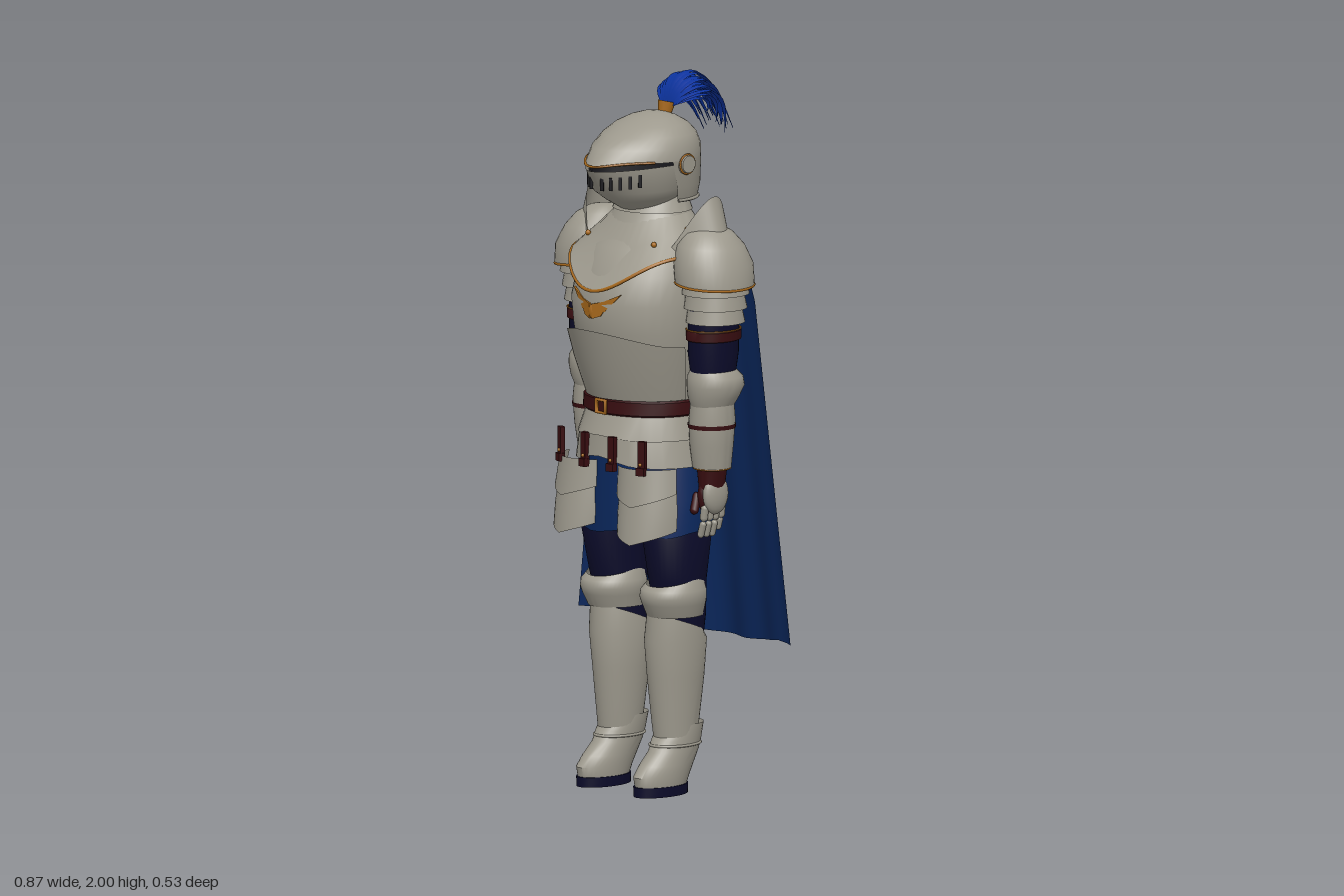
import * as THREE from 'three';
import { toCreasedNormals } from 'three/addons/utils/BufferGeometryUtils.js';

const paint = (name, color) => new THREE.MeshStandardMaterial({ name, color, side: THREE.DoubleSide });

export function createModel() {
  const root = new THREE.Group();
  root.name = 'armouredKnight';
  const steel = paint('steel', 0x9d998d), navy = paint('navyCloth', 0x0b0b2a), capeBlue = paint('capeBlue', 0x0b285e),
    plumeBlue = paint('plumeBlue', 0x0c339e), red = paint('redLeather', 0x380d10), gold = paint('gold', 0xa8691c),
    dark = paint('darkOpening', 0x17171c);

  const add = (name, geo, mat, x = 0, y = 0, z = 0) => {
    const m = new THREE.Mesh(geo, mat);
    m.name = name;
    m.position.set(x, y, z);
    root.add(m);
    return m;
  };
  const box = (name, mat, w, h, d, x, y, z) => add(name, new THREE.BoxGeometry(w, h, d), mat, x, y, z);

  // Surface through fn(u, v), u and v from 0 to 1
  function grid(fn, nu, nv, wrap = false) {
    const pos = [], idx = [], cols = wrap ? nu : nu + 1;
    for (let j = 0; j <= nv; j++) for (let i = 0; i < cols; i++) pos.push(...fn(i / nu, j / nv));
    for (let j = 0; j < nv; j++) for (let i = 0; i < nu; i++) {
      const a = j * cols + i, b = j * cols + (i + 1) % cols;
      idx.push(a, b, b + cols, a, b + cols, a + cols);
    }
    const g = new THREE.BufferGeometry();
    g.setAttribute('position', new THREE.Float32BufferAttribute(pos, 3));
    g.setIndex(idx);
    g.computeVertexNormals();
    return g;
  }

  // Ring: [y, half width, front z, back z, centre x, front keel]; angle 0 faces front
  function ringPoint([y, rx, zf, zb, cx = 0, keel = 0], t, grow = 0) {
    const c = Math.cos(t);
    return [cx + (rx + grow) * Math.sin(t), y,
      (zf + zb) / 2 + ((zf - zb) / 2 + grow) * c + keel * Math.max(0, c) ** 6];
  }
  // Shell through rings listed from the bottom up, closed or covering mid +- arc
  function loft(name, mat, rings, { arc = Math.PI, mid = 0, lift = () => 0, seg = 36 } = {}) {
    const n = rings.length - 1, closed = arc === Math.PI;
    const g = grid((u, v) => {
      const t = mid + (closed ? u * 2 * Math.PI : (u * 2 - 1) * arc);
      const p = ringPoint(rings[Math.round(v * n)], t);
      p[1] += lift(t, v);
      return p;
    }, seg, n, closed);
    return add(name, toCreasedNormals(g, 0.8), mat);
  }
  // Thin bead following a ring
  function bead(name, mat, ring, r, { arc = Math.PI, mid = 0, lift = () => 0 } = {}) {
    const pts = [], closed = arc === Math.PI;
    for (let i = 0; i < (closed ? 32 : 33); i++) {
      const t = mid + (i / 16 - 1) * arc, p = ringPoint(ring, t, 0.001);
      pts.push(new THREE.Vector3(p[0], p[1] + lift(t, 0), p[2]));
    }
    add(name, new THREE.TubeGeometry(new THREE.CatmullRomCurve3(pts, closed), 64, r, 6, closed), mat);
  }
  const stud = (name, mat, r, x, y, z) => add(name, new THREE.SphereGeometry(r, 12, 8), mat, x, y, z);

  // Torso armour
  loft('breastplate', steel, [[1.1, .165, .17, -.1], [1.2, .185, .205, -.11], [1.3, .2, .227, -.12], [1.38, .203, .237, -.125],
    [1.46, .195, .215, -.125], [1.53, .17, .17, -.115], [1.6, .12, .1, -.09]]);
  loft('bellyPlate', steel, [[1.11, .172, .19, -.1, 0, .01], [1.2, .19, .228, -.1, 0, .012], [1.265, .2, .25, -.1, 0, .015]],
    { arc: 1.6, lift: (t, k) => k * .045 * Math.max(0, Math.cos(t)) ** 2 });
  const vee = (t, k) => (1 - k) * (Math.cos(t) > 0 ? .02 - .1 * Math.cos(t) ** 3 : .02);
  const hem = [1.5, .205, .243, -.132];
  loft('collarMantle', steel, [hem, [1.56, .165, .168, -.118], [1.62, .115, .108, -.092]], { lift: vee });
  bead('mantleTrim', gold, [1.497, .203, .241, -.13], .005, { lift: vee });
  loft('gorget', steel, [[1.59, .135, .125, -.1], [1.625, .112, .11, -.09], [1.625, .118, .115, -.095], [1.67, .1, .095, -.08]]);
  loft('neck', navy, [[1.58, .09, .08, -.075], [1.72, .09, .08, -.08]]);

  // Chest ornament: two swept wings of three feathers around a small boss
  for (const s of [1, -1]) {
    for (let k = 0; k < 3; k++) {
      const len = .094 - k * .024, f = new THREE.Shape();
      f.moveTo(0, -.007); f.lineTo(s * len * .6, .002); f.lineTo(s * len, .04 - k * .006); f.lineTo(s * len * .4, .016); f.lineTo(0, .007);
      const m = add('chestFeather', new THREE.ExtrudeGeometry(f, { depth: .006, bevelEnabled: false }), gold, s * .004, 1.374 - k * .014, .237);
      m.rotation.y = s * .28;
    }
  }
  stud('chestBoss', gold, .01, 0, 1.36, .238).scale.set(1, 2, .7);

  // Belt, hip armour and cloth skirt
  loft('belt', red, [[1.065, .178, .192, -.112], [1.07, .184, .198, -.118], [1.105, .182, .196, -.116], [1.11, .176, .19, -.11]]);
  add('buckle', new THREE.TorusGeometry(.025, .006, 6, 4, Math.PI * 2).rotateZ(Math.PI / 4), gold, 0, 1.088, .203);
  const notch = (t, k) => (1 - k) * .025 * Math.max(0, Math.cos(t)) ** 12;
  loft('fauld', steel, [[.925, .205, .215, -.13], [1.0, .19, .21, -.122], [1.0, .195, .214, -.126], [1.075, .172, .188, -.108]], { lift: notch });
  loft('clothSkirt', capeBlue, [[.735, .212, .185, -.11], [.83, .21, .185, -.112], [.95, .195, .18, -.115]],
    { lift: (t, k) => (1 - k) * .008 * Math.sin(t * 5) });

  for (const s of [1, -1]) {
    // Thigh plates on straps
    const tip = (t, k) => (1 - k) * .03 * (Math.abs(t - s * .15) - .75);
    const plate = { arc: 1.3, mid: s * .15, lift: tip, seg: 20 };
    loft('upperTasset', steel, [[.845, .104, .224, .01, s * .127], [.93, .1, .214, .0, s * .12]], plate);
    loft('lowerTasset', steel, [[.74, .1, .23, .0, s * .13], [.8, .102, .224, .0, s * .128], [.87, .097, .212, .005, s * .125]], plate);
    for (const [x, z] of [[.056, .212], [.166, .2]]) {
      box('tassetStrap', red, .022, .09, .014, s * x, .965, z).rotation.y = s * x * 2;
      box('tassetStrapFoot', red, .026, .022, .018, s * x, .925, z + .004).rotation.y = s * x * 2;
      stud('strapStud', gold, .005, s * x, .945, z + .008);
    }

    // Shoulder armour, flaring at the lower edge
    const cx = s * .247;
    loft('pauldron', steel, [[1.445, .105, .118, -.113, cx], [1.5, .103, .12, -.115, s * .242], [1.55, .089, .1, -.097, s * .23],
      [1.585, .066, .072, -.068, s * .221], [1.605, .035, .036, -.034, s * .215], [1.61, .001, .001, -.001, s * .213]],
    { lift: (t, k) => (1 - k) * -.008 * s * Math.sin(t) });
    bead('pauldronTrim', gold, [1.443, .102, .115, -.11, cx], .004, { lift: t => -.008 * s * Math.sin(t) });
    add('shoulderSpike', grid((u, v) => {
      const a = u * 2 - 1, h = Math.max(0, 1 - a * a);
      return [s * (.165 + .125 * h - .045 * v * h), 1.535 + .15 * v * h ** 1.15, .1 * a];
    }, 24, 4), steel);
    for (let k = 0; k < 3; k++) {
      const y = 1.335 + k * .04, r = .072 + k * .006;
      loft('shoulderLame', steel, [[y, r + .008, r + .014, -r - .01, s * .25], [y + .05, r, r + .006, -r, s * .248]]);
    }
    stud('mantleRivet', gold, .008, s * .135, 1.55, .128);
    stud('shoulderBuckle', gold, .012, s * .152, 1.58, .012).scale.set(.6, 1, 1.5);

    // Arm
    loft('upperArm', navy, [[1.16, .055, .065, -.06, s * .24], [1.25, .064, .08, -.072, s * .243], [1.38, .064, .08, -.072, s * .245]]);
    loft('armStrap', red, [[1.285, .066, .083, -.075, s * .244], [1.287, .07, .086, -.078, s * .244], [1.312, .07, .086, -.078, s * .244], [1.315, .066, .083, -.075, s * .244]]);
    bead('armStrapTrim', gold, [1.316, .068, .084, -.076, s * .244], .0022);
    loft('elbowGuard', steel, [[1.1, .058, .066, -.06, s * .238], [1.125, .068, .075, -.075, s * .24], [1.155, .076, .078, -.09, s * .242],
      [1.18, .074, .078, -.085, s * .242], [1.2, .06, .07, -.065, s * .24]]);
    loft('forearm', steel, [[.925, .054, .056, -.052, s * .235], [.99, .06, .066, -.058, s * .236], [1.06, .064, .07, -.062, s * .238], [1.12, .058, .064, -.058, s * .238]]);
    loft('forearmStrap', red, [[1.037, .065, .071, -.063, s * .237], [1.049, .066, .072, -.064, s * .237]]);
    bead('cuffTrim', gold, [.923, .05, .052, -.048, s * .236], .0025);

    // Gauntlet
    loft('gloveCuff', red, [[.85, .03, .04, -.035, s * .235], [.93, .042, .045, -.042, s * .235]]);
    const palm = add('palm', new THREE.SphereGeometry(1, 16, 12), red, s * .231, .845, .002);
    palm.scale.set(.026, .06, .045);
    const back = add('handPlate', new THREE.SphereGeometry(1, 16, 12), steel, s * .249, .85, .001);
    back.scale.set(.021, .056, .044);
    for (let k = 0; k < 4; k++) {
      const z = .033 - k * .021, l = k === 3 ? .032 : .044;
      add('fingerBase', new THREE.CapsuleGeometry(.011, l * .6, 4, 8), steel, s * .238, .798, z).rotation.z = -s * .15;
      add('fingerTip', new THREE.CapsuleGeometry(.0095, l * .7, 4, 8), steel, s * .228, .795 - l, z).rotation.z = -s * .3;
    }
    const thumb = add('thumb', new THREE.CapsuleGeometry(.012, .04, 4, 8), red, s * .215, .825, .045);
    thumb.rotation.set(-.35, 0, s * .15);

    // Leg
    const lx = s * .122;
    loft('thigh', navy, [[.42, .06, .08, -.055, s * .115], [.5, .066, .09, -.062, s * .118], [.6, .072, .115, -.06, lx], [.72, .08, .14, -.075, s * .125], [.82, .07, .13, -.07, s * .11]]);
    loft('kneeGuard', steel, [[.5, .073, .118, -.05, s * .12], [.535, .083, .135, -.055, s * .122], [.555, .088, .142, -.058, lx], [.575, .086, .138, -.057, lx], [.605, .074, .122, -.05, lx]],
      { arc: 2.2, lift: (t, k) => (k > .9 ? -.018 : 0) * Math.max(0, Math.cos(t)) });
    loft('greave', steel, [[.12, .052, .09, -.035, s * .115], [.2, .058, .1, -.045, s * .113], [.33, .07, .113, -.062, s * .112], [.43, .077, .122, -.068, s * .113], [.51, .072, .115, -.05, s * .116]],
      { lift: (t, k) => k > .9 ? -.03 + .03 * Math.cos(t) : 0 });

    // Foot
    loft('boot', steel, [[.028, .05, .172, .0, s * .117], [.055, .053, .178, -.012, s * .117], [.085, .052, .155, -.028, s * .116],
      [.12, .053, .118, -.045, s * .115], [.15, .056, .104, -.054, s * .114], [.195, .058, .085, -.062, s * .113]],
    { lift: (t, k) => k > .9 ? -.025 * Math.max(0, Math.cos(t)) : 0 });
    bead('ankleBand', steel, [.137, .055, .108, -.05, s * .114], .004);
    loft('sole', navy, [[0, .001, .087, .085, s * .117], [0, .052, .176, -.004, s * .117], [.028, .053, .177, -.005, s * .117], [.028, .001, .087, .085, s * .117]]);

    // Visor hinge
    add('visorHinge', new THREE.CylinderGeometry(.024, .03, .02, 20).rotateZ(-s * Math.PI / 2), steel, s * .146, 1.765, .015);
    add('hingeTrim', new THREE.TorusGeometry(.027, .003, 6, 20).rotateY(Math.PI / 2), gold, s * .149, 1.765, .015);
  }

  // Helmet
  const beak = t => -.012 * Math.max(0, Math.cos(t)) ** 10;
  loft('helmetSkull', steel, [[1.775, .145, .195, -.125, 0, .045], [1.81, .143, .18, -.122, 0, .03], [1.84, .128, .15, -.11, 0, .012],
    [1.865, .102, .112, -.087], [1.883, .068, .068, -.055], [1.893, .033, .03, -.025], [1.896, .001, .006, .004]],
  { lift: (t, k) => k < .01 ? beak(t) : 0 });
  loft('eyeSlot', dark, [[1.745, .136, .185, -.115, 0, .035], [1.785, .136, .185, -.115, 0, .03]]);
  loft('helmetBack', steel, [[1.655, .122, .12, -.112], [1.7, .137, .15, -.12], [1.776, .145, .195, -.125]], { arc: 1.75, mid: Math.PI });
  const jaw = [[1.65, .085, .1, -.06], [1.675, .115, .15, -.08, 0, .01], [1.695, .13, .182, -.1, 0, .022], [1.752, .141, .197, -.12, 0, .043]];
  loft('visor', steel, jaw, { arc: 1.75, lift: (t, k) => (1 - k) * -.025 * Math.cos(t) + (k > .9 ? .014 * Math.sin(t) ** 2 : 0) });
  bead('browTrim', gold, [1.777, .145, .195, -.125, 0, .045], .0035, { arc: 1.05, lift: beak });
  for (let k = -5; k <= 5; k++) {
    if (!k) continue;
    const t = k * .16, p = ringPoint([1.715, .136, .187, -.11, 0, .032], t, .004);
    const slit = box('breathSlit', dark, .009, .036, .009, p[0], p[1] + .022 * Math.sin(t) ** 2, p[2]);
    slit.rotation.y = Math.sign(k) * .45 + t * .6;
  }
  bead('helmetRim', steel, [1.66, .123, .12, -.113], .005, { arc: 1.75, mid: Math.PI });

  // Plume and its holder
  const holder = add('plumeHolder', new THREE.CylinderGeometry(.025, .018, .04, 12), gold, .003, 1.897, -.036);
  holder.rotation.x = -.25;
  for (let i = 0; i < 33; i++) {
    const k = (i % 11) / 5 - 1, layer = Math.floor(i / 11), dx = .085 * k * (1 - layer * .15);
    const jag = ((i * 7) % 5) * .006, drop = .06 * k * k + layer * .014;
    const path = new THREE.CubicBezierCurve3(
      new THREE.Vector3(.003 + dx * .12, 1.905, -.042),
      new THREE.Vector3(.006 + dx * 1.1, 2.025 - drop, -.055 - layer * .006),
      new THREE.Vector3(.016 + dx * 1.25, 2.058 - drop - jag, -.17 + layer * .015),
      new THREE.Vector3(.03 + dx * .5, 1.822 + layer * .02 + jag, -.264 + .07 * Math.abs(k) + layer * .015 + jag));
    add('plumeFeather', grid((u, v) => {
      const p = path.getPoint(v), w = .015 * Math.sin(Math.PI * (.12 + .87 * v));
      return [p.x + (u * 2 - 1) * w, p.y - .004 * Math.abs(u * 2 - 1), p.z];
    }, 2, 14), plumeBlue);
  }

  // Cape, spreading and folding towards the hem
  add('cape', grid((u, v) => {
    const a = 1 - u * 2, e = a * a;
    const top = 1.525 - .14 * e * e, low = .4 + .035 * Math.min(1, e * 1.6);
    const fold = v * (.009 * Math.sin(a * 13 + .8) + .008 * Math.sin(a * 5 + 1.6));
    const z = (1 - v) * (-.148 + .055 * e) + v * (-.245 + .135 * Math.abs(a) ** 1.7);
    return [a * (.308 + .127 * v), top + (low - top) * v, z - fold * (1 - e * e)];
  }, 60, 24), capeBlue);

  return root;
}
